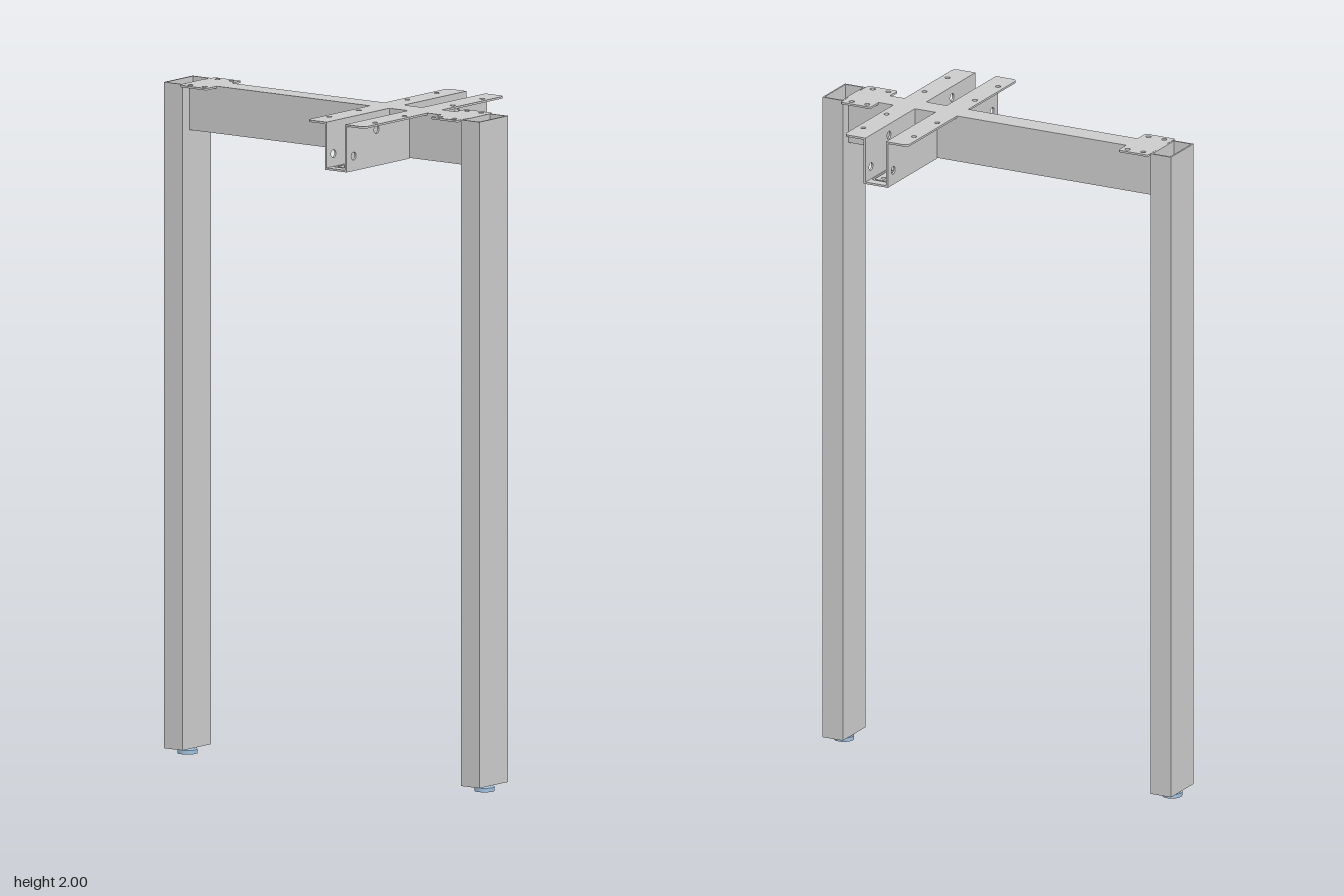
import * as THREE from 'three';

const grey = new THREE.MeshStandardMaterial({ color: 0xcccccc });
const blue = new THREE.MeshStandardMaterial({ color: 0x9fc0dc });
const T = 0.006; // sheet thickness

// Rectangle with one radius per corner, in the order (x0,y0) (x1,y0) (x1,y1) (x0,y1)
function rect(x0, y0, x1, y1, [a, b, c, d] = [0, 0, 0, 0], Type = THREE.Shape) {
  const s = new Type();
  s.moveTo(x0 + a, y0).lineTo(x1 - b, y0);
  if (b) s.quadraticCurveTo(x1, y0, x1, y0 + b);
  s.lineTo(x1, y1 - c);
  if (c) s.quadraticCurveTo(x1, y1, x1 - c, y1);
  s.lineTo(x0 + d, y1);
  if (d) s.quadraticCurveTo(x0, y1, x0, y1 - d);
  s.lineTo(x0, y0 + a);
  if (a) s.quadraticCurveTo(x0, y0, x0 + a, y0);
  return s;
}

function addHoles(shape, radius, centres) {
  for (const [x, y] of centres) {
    shape.holes.push(new THREE.Path().absarc(x, y, radius, 0, Math.PI * 2, true));
  }
  return shape;
}

function extrude(name, shape, depth) {
  const geometry = new THREE.ExtrudeGeometry(shape, { depth, bevelEnabled: false, curveSegments: 10 });
  const mesh = new THREE.Mesh(geometry, grey);
  mesh.name = name;
  return mesh;
}

// Sheet lying flat: shape y becomes z, top surface at the given height
function flatSheet(name, shape, top) {
  const mesh = extrude(name, shape, T);
  mesh.geometry.rotateX(Math.PI / 2);
  mesh.position.y = top;
  return mesh;
}

// Hollow rectangular tube section
function tubeShape(hw, hh, wall) {
  const s = rect(-hw, -hh, hw, hh);
  s.holes.push(rect(-hw + wall, -hh + wall, hw - wall, hh - wall, undefined, THREE.Path));
  return s;
}

function foot() {
  const g = new THREE.Group();
  g.name = 'levellingFoot';
  const add = (name, r0, r1, y0, y1, sides) => {
    const m = new THREE.Mesh(new THREE.CylinderGeometry(r1, r0, y1 - y0, sides), blue);
    m.name = name;
    m.position.y = (y0 + y1) / 2;
    g.add(m);
  };
  add('footPad', 0.03, 0.03, 0, 0.012, 32);
  add('footShoulder', 0.03, 0.022, 0.012, 0.018, 32);
  add('footNut', 0.018, 0.018, 0.018, 0.03, 6);
  add('footStem', 0.009, 0.009, 0.03, 0.06, 16);
  return g;
}

// Hat-section arm on the +x side, centred on z = 0
function supportArm() {
  const g = new THREE.Group();
  g.name = 'supportArm';
  const x0 = 0.035, x1 = 0.34, bottom = 1.858, wallZ = 0.04, flangeZ = 0.106;

  // Side walls
  for (const z of [-wallZ, wallZ - T]) {
    const shape = addHoles(rect(x0, bottom, x1, 2), 0.012, [[0.195, 1.966], [0.306, 1.902]]);
    const wall = extrude('armWall', shape, T);
    wall.position.z = z;
    g.add(wall);
  }

  // Outward flanges with rounded outer corners
  const inner = wallZ - T, r = 0.018;
  const front = rect(x0, inner, x1, flangeZ, [0, 0, r, 0]);
  const back = rect(x0, -flangeZ, x1, -inner, [0, r, 0, 0]);
  g.add(flatSheet('armFlange', addHoles(front, 0.008, [[0.117, 0.084], [0.26, 0.084]]), 2));
  g.add(flatSheet('armFlange', addHoles(back, 0.008, [[0.117, -0.084], [0.26, -0.084]]), 2));

  // Floor with two slotted windows, each around a drilled pad
  const floor = rect(x0, -wallZ, x1, wallZ);
  for (const x of [0.117, 0.258]) {
    floor.holes.push(rect(x - 0.053, -0.031, x + 0.053, 0.031, [0.01, 0.01, 0.01, 0.01], THREE.Path));
    const pad = rect(x - 0.046, -0.024, x + 0.046, 0.024, [0.006, 0.006, 0.006, 0.006]);
    g.add(flatSheet('floorPad', addHoles(pad, 0.008, [[x - 0.025, 0.004], [x + 0.025, 0.004]]), bottom + T));
  }
  g.add(flatSheet('armFloor', floor, bottom + T));
  return g;
}

export function createModel() {
  const model = new THREE.Group();
  model.name = 'legFrame';

  // Open tubular legs with their feet
  for (const side of [1, -1]) {
    const leg = extrude('leg', tubeShape(0.07, 0.034, 0.005), 1.98);
    leg.geometry.rotateX(-Math.PI / 2);
    leg.position.set(0, 0.02, side * 0.546);
    const f = foot();
    f.position.z = side * 0.546;
    model.add(leg, f);
  }

  // Top beam between the legs
  const beam = extrude('topBeam', tubeShape(0.035, 0.07, 0.005), 1.024);
  beam.position.set(0, 1.93, -0.512);
  model.add(beam);

  // Drilled mounting tabs at both ends of the beam
  for (const sx of [1, -1]) {
    for (const sz of [1, -1]) {
      const xs = [sx * 0.034, sx * 0.085].sort((a, b) => a - b);
      const zs = [sz * 0.412, sz * 0.511].sort((a, b) => a - b);
      const radii = sx > 0 ? [0, 0.008, 0.008, 0] : [0.008, 0, 0, 0.008];
      const tab = rect(xs[0], zs[0], xs[1], zs[1], radii);
      addHoles(tab, 0.008, [[sx * 0.065, sz * 0.433], [sx * 0.065, sz * 0.485]]);
      model.add(flatSheet('mountingTab', tab, 2));
    }
  }

  // Support arms, the second turned half round
  for (const turn of [0, Math.PI]) {
    const arm = supportArm();
    arm.rotation.y = turn;
    arm.position.z = 0.257;
    model.add(arm);
  }
  return model;
}
